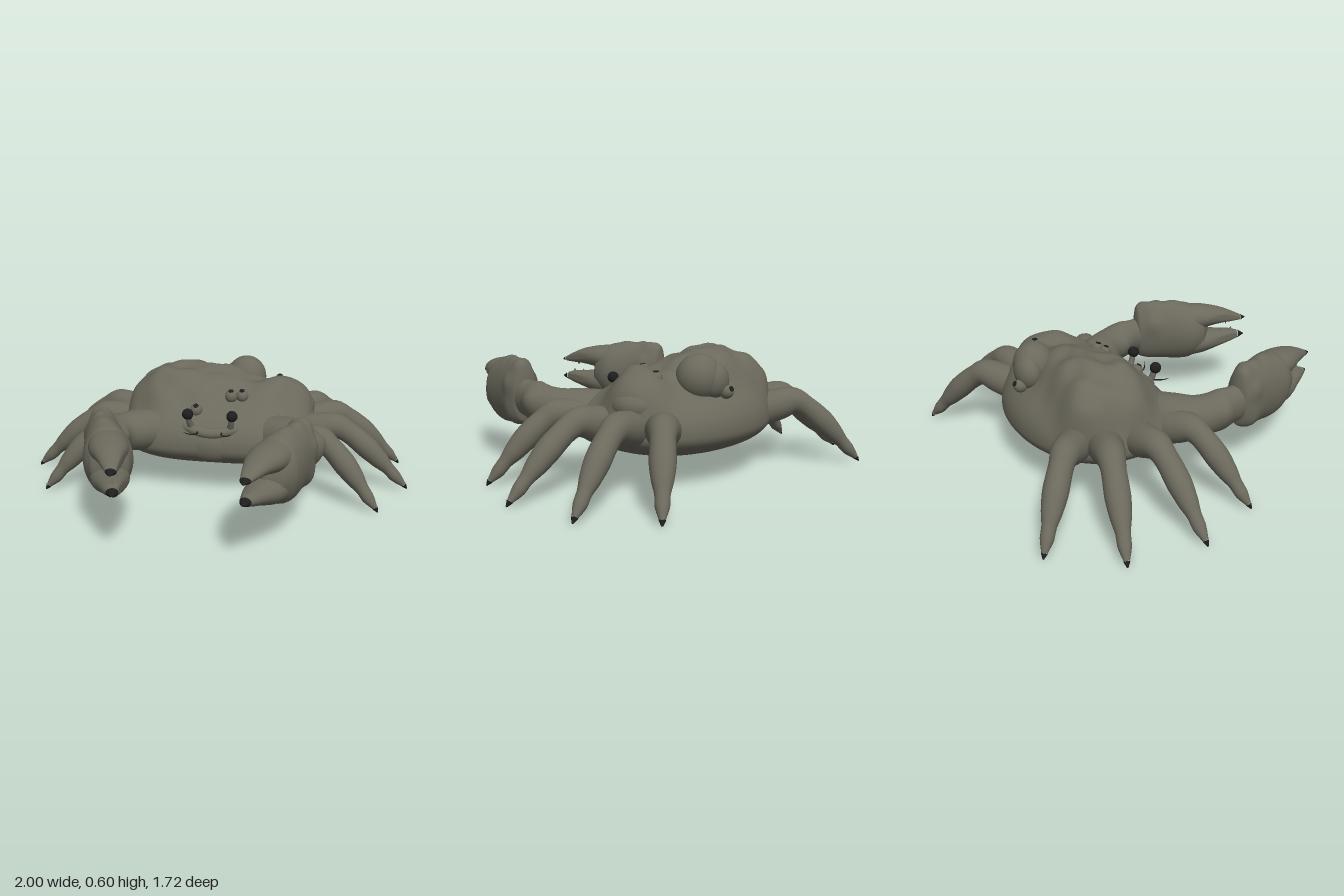
import * as THREE from 'three';
import { mergeVertices } from 'three/addons/utils/BufferGeometryUtils.js';

const shell = new THREE.MeshStandardMaterial({ color: 0x6b695c });
shell.name = 'shell grey';
const black = new THREE.MeshStandardMaterial({ color: 0x1e1e1e });
black.name = 'black';

function add(parent, name, geometry, material = shell) {
  const mesh = new THREE.Mesh(geometry, material);
  mesh.name = name;
  parent.add(mesh);
  return mesh;
}

// Sweeps an ellipse along points [x, y, z, halfWidth, halfHeight];
// bumps [x, y, z, radius, height] swell the surface, minX flattens the inner side
function loft(points, steps = 32, sides = 20, minX = 0, bumps = []) {
  const path = new THREE.CatmullRomCurve3(points.map(p => new THREE.Vector3(p[0], p[1], p[2])));
  const size = new THREE.CatmullRomCurve3(points.map(p => new THREE.Vector3(p[3], p[4], 0)));
  const up = new THREE.Vector3(0, 1, 0), pos = [], index = [];
  for (let i = 0; i <= steps; i++) {
    const c = path.getPoint(i / steps), s = size.getPoint(i / steps), t = path.getTangent(i / steps);
    const side = up.clone().cross(t).normalize(), top = t.clone().cross(side);
    for (let j = 0; j < sides; j++) {
      const a = j / sides * Math.PI * 2;
      const out = side.clone().multiplyScalar(Math.cos(a) * Math.max(s.x, 0.001))
        .addScaledVector(top, Math.sin(a) * Math.max(s.y, 0.001));
      const p = c.clone().add(out);
      out.normalize();
      let swell = 0;
      for (const [x, y, z, r, h] of bumps)
        swell += h * Math.exp(-((p.x - x) ** 2 + (p.y - y) ** 2 + (p.z - z) ** 2) / (r * r));
      p.addScaledVector(out, swell);
      if (minX) p.x = Math.sign(p.x) * Math.max(Math.abs(p.x), minX);
      pos.push(p.x, p.y, p.z);
      if (i < steps) {
        const k = i * sides, n = (j + 1) % sides;
        index.push(k + j, k + n, k + sides + j, k + n, k + sides + n, k + sides + j);
      }
    }
  }
  const g = new THREE.BufferGeometry();
  g.setAttribute('position', new THREE.Float32BufferAttribute(pos, 3));
  g.setIndex(index);
  g.computeVertexNormals();
  return g;
}

function ball(parent, name, [x, y, z], [rx, ry, rz], material = shell) {
  const mesh = add(parent, name, new THREE.SphereGeometry(1, 28, 20), material);
  mesh.position.set(x, y, z);
  mesh.scale.set(rx, ry, rz);
  return mesh;
}

// Encrusted lumps raised on the carapace: x, z, radius, height
const lumps = [
  [-0.37, -0.47, 0.11, 0.1], [-0.21, -0.44, 0.11, 0.09], [-0.37, -0.28, 0.12, 0.1],
  [-0.2, -0.29, 0.11, 0.09], [-0.05, -0.43, 0.11, 0.08], [0.04, -0.29, 0.11, 0.07],
  [-0.09, -0.19, 0.1, 0.06], [0.12, -0.43, 0.1, 0.06], [0.36, -0.37, 0.14, 0.1],
  [0.24, -0.24, 0.1, 0.05], [-0.26, -0.16, 0.1, 0.06], [-0.08, -0.33, 0.06, 0.03],
];

function bodyGeometry() {
  let g = new THREE.SphereGeometry(1, 128, 88);
  g.deleteAttribute('uv');
  g.deleteAttribute('normal');
  g = mergeVertices(g, 1e-5);
  const p = g.attributes.position;
  for (let i = 0; i < p.count; i++) {
    const nx = p.getX(i), ny = p.getY(i), nz = p.getZ(i);
    const rho = Math.hypot(nx, nz), e = nz > 0 ? 3.3 : 2.1;
    // squarer outline at the front than at the back
    const k = rho > 1e-6 ? rho / Math.pow(Math.abs(nx) ** e + Math.abs(nz) ** e, 1 / e) : 1;
    const x = nx * k * 0.51, z = -0.31 + nz * k * 0.365;
    const y = ny > 0 ? 0.25 + 0.235 * ny ** 0.92 : 0.25 - 0.143 * (-ny) ** 0.93;
    let rise = 0;
    for (const [lx, lz, r, h] of lumps) rise += h * Math.exp(-((Math.hypot(x - lx, z - lz) / r) ** 3));
    rise *= THREE.MathUtils.smoothstep(ny, 0.05, 0.5);
    p.setXYZ(i, x + nx * rise * 0.35, y + rise, z + nz * rise * 0.2);
  }
  g.computeVertexNormals();
  return g;
}

// Walking legs: base x, base z, tip x, tip z
const legs = [
  [0.38, -0.1, 0.85, 0.12], [0.4, -0.26, 0.998, -0.21],
  [0.4, -0.4, 0.96, -0.58], [0.34, -0.5, 0.74, -0.86],
];
// fraction along the leg, height, radius
const legProfile = [
  [0, 0.27, 0.085], [0.2, 0.3, 0.08], [0.36, 0.318, 0.067], [0.48, 0.285, 0.056],
  [0.62, 0.222, 0.058], [0.75, 0.152, 0.047], [0.83, 0.107, 0.033], [0.89, 0.07, 0.031],
  [0.97, 0.026, 0.013], [1, 0.006, 0.003],
];

function buildLeg(s, [bx, bz, tx, tz]) {
  const leg = new THREE.Group();
  leg.name = 'walkingLeg';
  const pts = legProfile.map(([f, y, r]) => [s * (bx + (tx - bx) * f), y, bz + (tz - bz) * f, r, r]);
  add(leg, 'legShell', loft(pts.slice(0, 9), 40, 18));
  add(leg, 'legTip', loft([pts[8].map((v, i) => i > 2 ? v + 0.002 : v), pts[9]], 4, 12), black);
  return leg;
}

function buildClaw(s) {
  const claw = new THREE.Group();
  claw.name = 'clawArm';
  const m = pts => pts.map(([x, ...rest]) => [s * x, ...rest]);
  add(claw, 'arm', loft(m([[0.25, 0.3, -0.11, 0.1, 0.1], [0.38, 0.31, -0.03, 0.115, 0.105],
    [0.455, 0.32, 0.06, 0.098, 0.095], [0.485, 0.33, 0.15, 0.088, 0.095],
    [0.486, 0.345, 0.23, 0.065, 0.09], [0.48, 0.36, 0.33, 0.055, 0.09]]), 44, 32, 0,
    m([[0.56, 0.36, 0.16, 0.05, 0.02], [0.4, 0.35, 0.18, 0.05, 0.018], [0.48, 0.43, 0.17, 0.04, 0.012]])));
  add(claw, 'palm', loft(m([[0.49, 0.367, 0.25, 0.002, 0.01], [0.485, 0.368, 0.272, 0.06, 0.135],
    [0.468, 0.367, 0.33, 0.082, 0.158], [0.43, 0.365, 0.43, 0.098, 0.162],
    [0.385, 0.362, 0.53, 0.115, 0.158], [0.355, 0.365, 0.61, 0.088, 0.115],
    [0.34, 0.37, 0.65, 0.002, 0.005]]), 64, 40, 0.265,
    m([[0.51, 0.5, 0.3, 0.04, 0.022], [0.44, 0.51, 0.31, 0.04, 0.016], [0.47, 0.53, 0.38, 0.03, 0.012],
      [0.55, 0.42, 0.34, 0.04, 0.016], [0.42, 0.52, 0.46, 0.04, 0.01], [0.53, 0.26, 0.33, 0.06, 0.02],
      [0.4, 0.42, 0.33, 0.04, 0.018], [0.45, 0.21, 0.5, 0.08, 0.012]])));
  // fingers and their dark points, flat on the inner side
  const upper = m([[0.395, 0.425, 0.5, 0.09, 0.09], [0.355, 0.44, 0.61, 0.09, 0.066],
    [0.322, 0.439, 0.7, 0.067, 0.046], [0.3, 0.427, 0.77, 0.045, 0.029],
    [0.288, 0.416, 0.82, 0.025, 0.015], [0.284, 0.41, 0.857, 0.002, 0.002]]);
  const lower = m([[0.395, 0.295, 0.5, 0.09, 0.09], [0.355, 0.297, 0.61, 0.09, 0.07],
    [0.322, 0.307, 0.7, 0.067, 0.048], [0.3, 0.315, 0.77, 0.045, 0.034],
    [0.288, 0.316, 0.81, 0.027, 0.021], [0.28, 0.312, 0.85, 0.002, 0.002]]);
  for (const [name, pts] of [['upperFinger', upper], ['lowerFinger', lower]]) {
    add(claw, name, loft(pts.slice(0, 5), 24, 24, 0.265));
    add(claw, name + 'Tip', loft([pts[4].map((v, i) => i > 2 ? v + 0.002 : v), pts[5]], 4, 16, 0.264), black);
  }
  // teeth along the gape
  for (const [y, z, flip] of [[0.396, 0.74, 1], [0.354, 0.7, 0], [0.352, 0.775, 0]]) {
    const tooth = add(claw, 'tooth', new THREE.ConeGeometry(0.012, 0.024, 10));
    tooth.position.set(s * 0.3, y, z);
    tooth.rotation.x = flip ? Math.PI : 0;
  }
  return claw;
}

export function createModel() {
  const crab = new THREE.Group();
  crab.name = 'crab';
  add(crab, 'carapace', bodyGeometry());

  // large growth on the back
  const growth = ball(crab, 'backGrowth', [0.11, 0.49, -0.51], [0.108, 0.11, 0.1]);
  growth.rotation.y = -0.4;
  ball(crab, 'backGrowthEnd', [0.065, 0.475, -0.56], [0.085, 0.085, 0.065]);
  ball(crab, 'sideGrowth', [0.37, 0.38, -0.37], [0.125, 0.09, 0.13]);

  // barnacles with dark openings
  for (const [x, y, z, tilt] of [[0.08, 0.48, -0.14, 0.3], [0.135, 0.48, -0.155, 0.3], [0.3, 0.495, -0.42, 0],
    [-0.085, 0.425, -0.05, 0.5], [0.035, 0.425, -0.615, -1]]) {
    const barnacle = new THREE.Group();
    barnacle.name = 'barnacle';
    ball(barnacle, 'barnacleShell', [0, 0, 0], [0.031, 0.034, 0.031]);
    add(barnacle, 'barnacleOpening', new THREE.CylinderGeometry(0.013, 0.013, 0.008, 16), black).position.y = 0.031;
    barnacle.position.set(x, y, z);
    barnacle.rotation.x = tilt;
    crab.add(barnacle);
  }

  // face: brow ridge and mouth
  add(crab, 'browRidge', loft([[-0.17, 0.365, -0.03, 0.02, 0.02], [-0.1, 0.345, 0.01, 0.03, 0.025],
    [0, 0.33, 0.025, 0.03, 0.028], [0.1, 0.345, 0.01, 0.03, 0.025], [0.17, 0.365, -0.03, 0.02, 0.02]]));
  ball(crab, 'mouth', [0, 0.26, 0.005], [0.15, 0.085, 0.055]);

  for (const s of [-1, 1]) {
    add(crab, 'eyeStalk', loft([[s * 0.095, 0.34, 0.0, 0.024, 0.024], [s * 0.105, 0.38, 0.025, 0.016, 0.016],
      [s * 0.11, 0.42, 0.038, 0.014, 0.014]], 10, 14));
    ball(crab, 'eye', [s * 0.112, 0.432, 0.042], [0.028, 0.028, 0.028], black);
    add(crab, 'antenna', loft([[s * 0.06, 0.345, 0.03, 0.005, 0.005], [s * 0.065, 0.34, 0.07, 0.004, 0.004],
      [s * 0.09, 0.345, 0.095, 0.003, 0.003], [s * 0.12, 0.36, 0.115, 0.001, 0.001]], 14, 8), black);
    crab.add(buildClaw(s));
    for (const leg of legs) crab.add(buildLeg(s, leg));
  }
  return crab;
}
